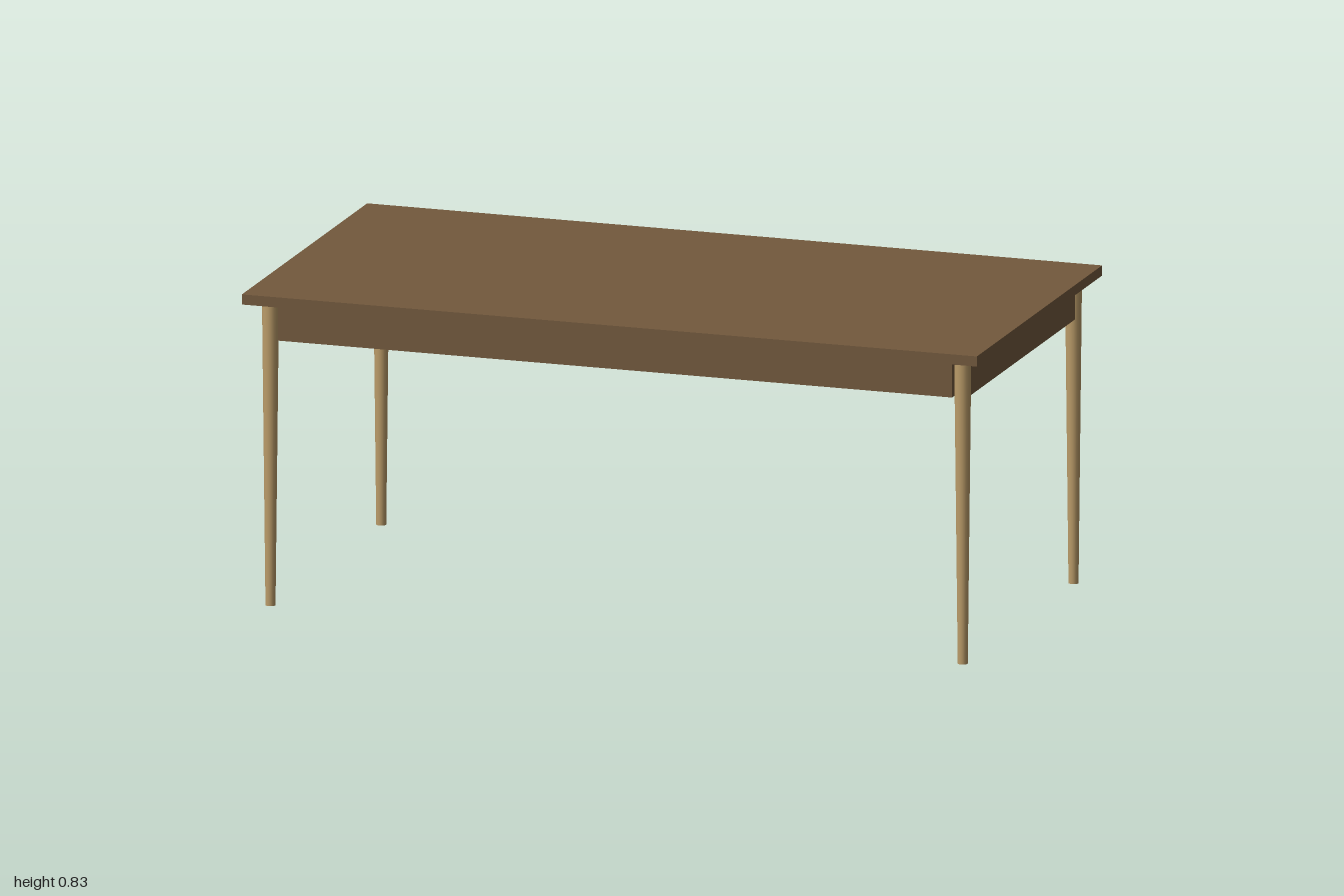
import * as THREE from 'three';

const TOP_Y = 0.835, UNDER_Y = 0.808;   // tabletop upper and lower faces
const LEG_X = 0.942, LEG_Z = 0.442;     // leg centres
const APRON_H = 0.1, APRON_T = 0.026;

export function createModel() {
  const darkWood = new THREE.MeshStandardMaterial({ color: 0x73593d });
  darkWood.name = 'darkWood';
  const lightWood = new THREE.MeshStandardMaterial({ color: 0xbb9c69 });
  lightWood.name = 'lightWood';

  const table = new THREE.Group();
  table.name = 'table';

  const add = (name, geometry, material, x, y, z) => {
    const mesh = new THREE.Mesh(geometry, material);
    mesh.name = name;
    mesh.position.set(x, y, z);
    table.add(mesh);
  };

  // Tabletop
  const thickness = TOP_Y - UNDER_Y;
  add('tabletop', new THREE.BoxGeometry(2, thickness, 1), darkWood, 0, UNDER_Y + thickness / 2, 0);

  // Apron rails running between the legs, in line with the leg centres
  const longRail = new THREE.BoxGeometry(1.834, APRON_H, APRON_T);
  const shortRail = new THREE.BoxGeometry(APRON_T, APRON_H, 0.834);
  const railY = UNDER_Y - APRON_H / 2;
  for (const s of [1, -1]) {
    add(s > 0 ? 'frontApron' : 'backApron', longRail, darkWood, 0, railY, s * LEG_Z);
    add(s > 0 ? 'leftApron' : 'rightApron', shortRail, darkWood, s * LEG_X, railY, 0);
  }

  // Round tapered legs
  const leg = new THREE.CylinderGeometry(0.022, 0.013, UNDER_Y, 16);
  for (const sx of [1, -1]) {
    for (const sz of [1, -1]) {
      const name = (sz > 0 ? 'front' : 'back') + (sx > 0 ? 'Left' : 'Right') + 'Leg';
      add(name, leg, lightWood, sx * LEG_X, UNDER_Y / 2, sz * LEG_Z);
    }
  }

  return table;
}
